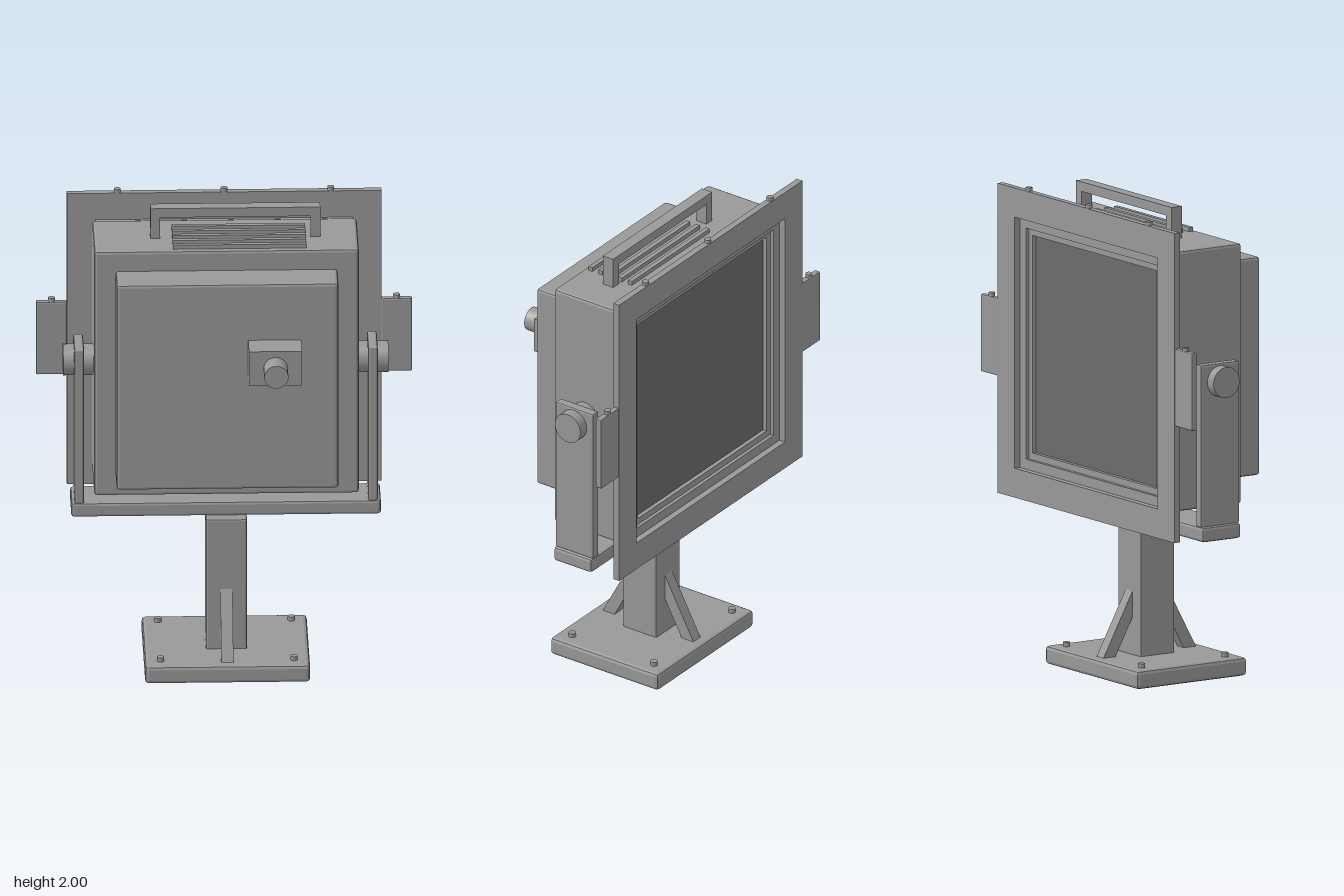
import * as THREE from 'three';
import { RoundedBoxGeometry } from 'three/addons/geometries/RoundedBoxGeometry.js';

export function createModel() {
  const model = new THREE.Group();
  const grey = new THREE.MeshStandardMaterial({ color: 0x999999 });
  grey.name = 'grey metal';
  const dark = new THREE.MeshStandardMaterial({ color: 0x6c6c6c });
  dark.name = 'dark screen';

  const add = (name, geometry, x = 0, y = 0, z = 0, material = grey) => {
    const mesh = new THREE.Mesh(geometry, material);
    mesh.name = name;
    mesh.position.set(x, y, z);
    model.add(mesh);
    return mesh;
  };
  // Box given by its limits, with an optional chamfer
  const box = (name, [x0, x1], [y0, y1], [z0, z1], bevel = 0, material = grey) => {
    const size = [x1 - x0, y1 - y0, z1 - z0];
    const geometry = bevel ? new RoundedBoxGeometry(...size, 1, bevel) : new THREE.BoxGeometry(...size);
    if (bevel) geometry.computeVertexNormals();
    return add(name, geometry, (x0 + x1) / 2, (y0 + y1) / 2, (z0 + z1) / 2, material);
  };
  const bolt = (name, x, y, z, r = 0.015) =>
    add(name, new THREE.CylinderGeometry(r, r, 0.03, 16), x, y, z);
  const square = (Type, w, h) => new Type([
    new THREE.Vector2(-w, -h), new THREE.Vector2(w, -h),
    new THREE.Vector2(w, h), new THREE.Vector2(-w, h)]);
  // Rectangular frame around the screen centre
  const frame = (name, w, h, iw, ih, z0, z1) => {
    const shape = square(THREE.Shape, w, h);
    shape.holes.push(square(THREE.Path, iw, ih));
    add(name, new THREE.ExtrudeGeometry(shape, { depth: z1 - z0, bevelEnabled: false }), 0, 1.32, z0);
  };

  // Stand
  box('base', [-0.34, 0.34], [0, 0.077], [-0.36, 0.187], 0.015);
  box('post', [-0.085, 0.085], [0.07, 0.655], [-0.17, 0], 0.008);
  for (const x of [-0.275, 0.275])
    for (const z of [-0.295, 0.12]) bolt('baseBolt', x, 0.08, z);

  // Slanted braces before and behind the post
  const braceShape = new THREE.Shape([
    new THREE.Vector2(0, 0.345), new THREE.Vector2(0, 0.235),
    new THREE.Vector2(0.085, 0.077), new THREE.Vector2(0.145, 0.077)]);
  for (const side of [1, -1]) {
    const geometry = new THREE.ExtrudeGeometry(braceShape, { depth: 0.05, bevelEnabled: false });
    geometry.translate(0, 0, -0.025).rotateY(-side * Math.PI / 2);
    add('brace', geometry, 0, 0, side > 0 ? 0 : -0.17);
  }

  // Yoke
  box('yokeBar', [-0.638, 0.638], [0.652, 0.715], [-0.237, -0.045], 0.012);
  for (const side of [-1, 1]) {
    const arm = box('yokeArm', [-0.02, 0.02], [0.712, 1.395], [-0.237, -0.045], 0.008);
    arm.position.x = side * 0.605;
    const knob = new THREE.CylinderGeometry(0.065, 0.065, 0.13, 32).rotateZ(Math.PI / 2);
    add('pivotKnob', knob, side * 0.605, 1.32, -0.14);
  }

  // Housing
  box('housing', [-0.545, 0.545], [0.775, 1.867], [-0.317, 0.02], 0.012);
  box('frontCover', [-0.457, 0.457], [0.863, 1.78], [0.01, 0.172], 0.012);
  box('connectorBlock', [0.085, 0.303], [1.377, 1.53], [0.165, 0.293]);
  add('connector', new THREE.CylinderGeometry(0.05, 0.05, 0.1, 32).rotateX(Math.PI / 2), 0.195, 1.453, 0.335);

  // Vents and handle on top
  for (let i = 0; i < 5; i++) {
    const z = -0.212 + i * 0.05;
    box('ventRib', [-0.22, 0.33], [1.86, 1.885], [z - 0.01, z + 0.01]);
  }
  box('handleGrip', [-0.31, 0.39], [1.96, 2], [-0.17, -0.118]);
  for (const x of [-0.31, 0.35]) box('handleLeg', [x, x + 0.04], [1.86, 1.96], [-0.17, -0.118]);

  // Back frame, stepped inwards to the screen
  frame('backPlate', 0.648, 0.65, 0.525, 0.527, -0.385, -0.356);
  frame('outerStep', 0.53, 0.532, 0.483, 0.485, -0.357, -0.341);
  frame('innerStep', 0.485, 0.487, 0.455, 0.457, -0.342, -0.316);
  box('screen', [-0.456, 0.456], [0.862, 1.778], [-0.324, -0.316], 0, dark);
  for (const x of [-0.44, 0, 0.44]) bolt('plateBolt', x, 1.97, -0.37, 0.014);
  for (const side of [-1, 1]) {
    const ear = box('sideTab', [-0.064, 0.064], [1.16, 1.485], [-0.385, -0.357], 0.006);
    ear.position.x = side * 0.711;
    bolt('tabBolt', side * 0.711, 1.485, -0.371, 0.014);
  }
  return model;
}
